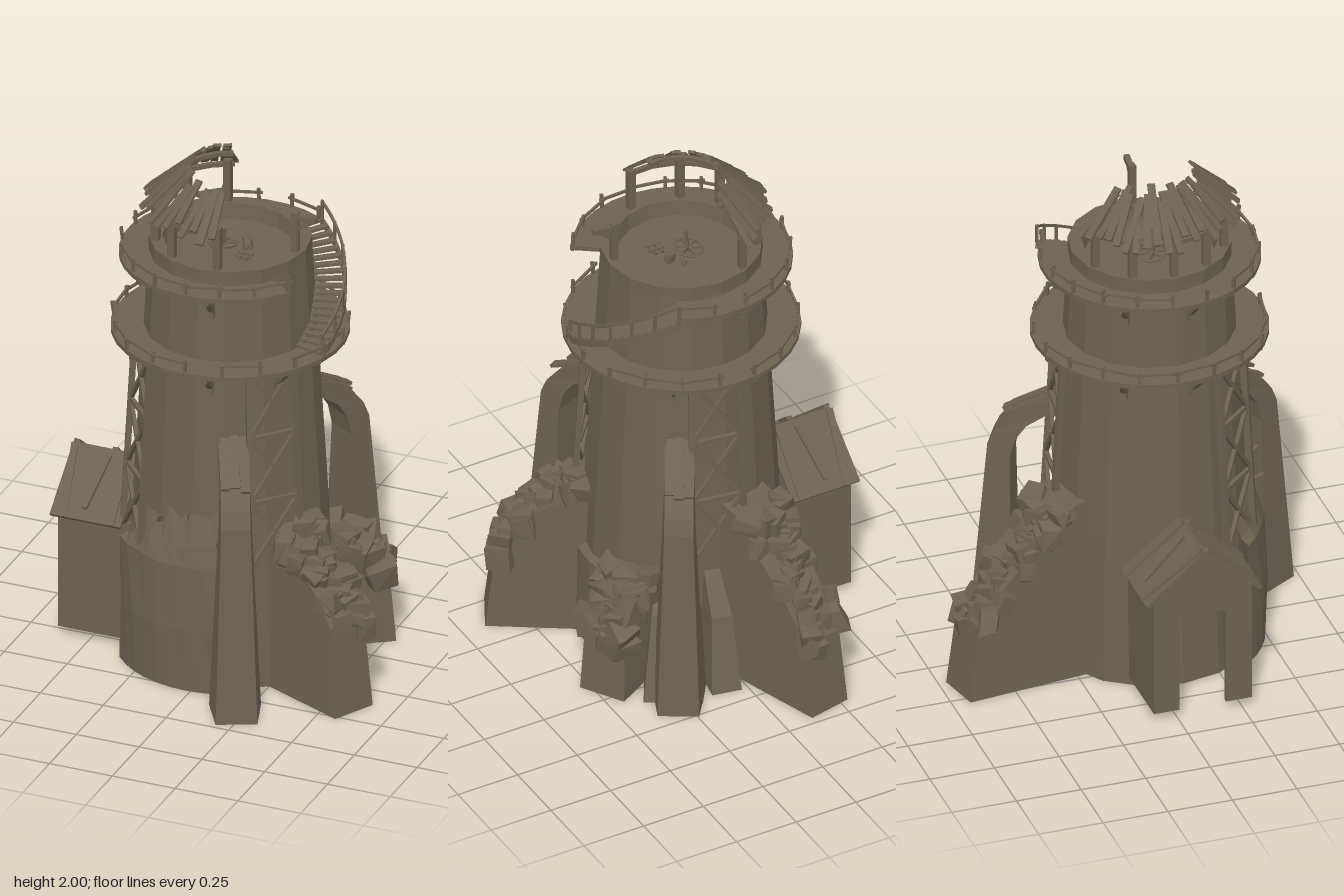
import * as THREE from 'three';
import { ConvexGeometry } from 'three/addons/geometries/ConvexGeometry.js';

const weathered = new THREE.MeshStandardMaterial({ color: 0x6c6253, side: THREE.DoubleSide });
weathered.name = 'weatheredStone';

const rad = THREE.MathUtils.degToRad;
const V = (x, y, z) => new THREE.Vector3(x, y, z);
// Point around the tower axis; azimuth 0 is the front (+z), 90 is +x
const polar = (az, r, y) => V(r * Math.sin(rad(az)), y, r * Math.cos(rad(az)));

export function createModel() {
  let seed = 7;
  const rnd = (a = 0, b = 1) => {
    seed = (seed * 16807) % 2147483647;
    return a + (b - a) * seed / 2147483647;
  };

  const model = new THREE.Group();
  model.name = 'ruinedTower';
  const site = new THREE.Group();
  site.name = 'towerSite';
  site.position.set(-0.02, 0, 0.1);
  model.add(site);

  function add(geo, name) {
    const g = geo.index ? geo.toNonIndexed() : geo;
    g.computeVertexNormals();
    const mesh = new THREE.Mesh(g, weathered);
    mesh.name = name;
    site.add(mesh);
    return mesh;
  }
  // Box running from a to b; w is the sideways width, t the thickness
  function beam(a, b, w, t, name) {
    const mesh = add(new THREE.BoxGeometry(w, t, a.distanceTo(b)), name);
    mesh.position.copy(a).add(b).multiplyScalar(0.5);
    mesh.quaternion.setFromRotationMatrix(new THREE.Matrix4().lookAt(b, a, V(0, 1, 0)));
  }
  // Flat ring sector with its underside at y
  function ringSector(r0, r1, y, h, a0, a1, name) {
    const n = Math.ceil((a1 - a0) / 12), pts = [];
    for (let i = 0; i <= n; i++) pts.push([r1, a0 + (a1 - a0) * i / n]);
    for (let i = n; i >= 0; i--) pts.push([r0, a0 + (a1 - a0) * i / n]);
    const shape = new THREE.Shape(pts.map(([r, a]) =>
      new THREE.Vector2(r * Math.sin(rad(a)), -r * Math.cos(rad(a)))));
    const geo = new THREE.ExtrudeGeometry(shape, { depth: h, bevelEnabled: false });
    geo.rotateX(-Math.PI / 2).translate(0, y, 0);
    add(geo, name);
  }
  // Radial slab from an (r, y) profile, narrowing upwards (over height h) and outwards
  function radialSlab(az, profile, wBase, wTop, h, name, openBelow = false) {
    const shape = new THREE.Shape(profile.map(p => new THREE.Vector2(...p)));
    const geo = new THREE.ExtrudeGeometry(shape, { depth: 1, bevelEnabled: false });
    const p = geo.attributes.position, kept = [];
    for (let i = 0; i < p.count; i++) {
      const w = THREE.MathUtils.lerp(wBase, wTop, Math.min(1, p.getY(i) / h));
      const narrow = 1 - 1.2 * Math.max(0, p.getX(i) - 0.5);
      p.setZ(i, (p.getZ(i) - 0.5) * w * narrow);
    }
    geo.rotateY(rad(az - 90));
    for (let i = 0; i < p.count; i += 3) {
      const onGround = Math.max(p.getY(i), p.getY(i + 1), p.getY(i + 2)) < 0.001;
      if (!(openBelow && onGround)) kept.push(i, i + 1, i + 2);
    }
    geo.setIndex(kept);
    add(geo, name);
  }
  // Blocky boulder
  function rock(pos, sx, sy, sz, name = 'rock') {
    const pts = [];
    for (const x of [-1, 1]) for (const y of [-1, 1]) for (const z of [-1, 1]) {
      const c = V(x * rnd(0.5, 0.95), y * rnd(0.5, 0.95), z * rnd(0.5, 0.95));
      pts.push(c.multiply(V(sx, sy, sz)));
    }
    for (let i = 0; i < 5; i++) pts.push(V(rnd(-1, 1) * sx, rnd(-1, 1) * sy, rnd(-1, 1) * sz));
    const mesh = add(new ConvexGeometry(pts), name);
    mesh.position.copy(pos);
    mesh.rotation.set(rnd(-0.3, 0.3), rnd(0, 6), rnd(-0.3, 0.3));
  }

  // Tower shaft with a parapet and sunken top floor
  const shaft = [[0.385, 0], [0.36, 0.6], [0.3, 1.64], [0.3, 1.68], [0.25, 1.68], [0.24, 1.62], [0, 1.62]];
  add(new THREE.LatheGeometry(shaft.map(p => new THREE.Vector2(...p)), 16), 'towerShaft');
  add(new THREE.CircleGeometry(0.37, 16).rotateX(Math.PI / 2).translate(0, 0.3, 0), 'lowerFloor');

  // Sloped earth skirt around the front and low wall on the side
  const skirt = new THREE.LatheGeometry([[0.425, 0], [0.43, 0.25], [0.42, 0.5], [0.395, 0.57], [0.345, 0.7]]
    .map(p => new THREE.Vector2(...p)), 9, rad(-50), rad(75));
  const sp = skirt.attributes.position;
  for (let i = 0; i < sp.count; i++) {
    if (sp.getY(i) < 0.1) continue;
    const k = rnd(0.98, 1.01), lift = sp.getY(i) > 0.52 ? 0.15 * sp.getX(i) + rnd(-0.01, 0.02) : 0;
    sp.setXYZ(i, sp.getX(i) * k, sp.getY(i) + lift, sp.getZ(i) * k);
  }
  add(skirt, 'frontSkirt');
  add(new THREE.LatheGeometry([[0.405, 0], [0.395, 0.37], [0.36, 0.385]]
    .map(p => new THREE.Vector2(...p)), 4, rad(68), rad(48)), 'sideWall');
  for (const [az, y] of [[-4, 0.68], [14, 0.58], [-22, 0.64]])
    beam(polar(az, 0.35, y), polar(az + 4, 0.42, y + 0.03), 0.015, 0.02, 'brokenPeg');

  // Ruined rib walls topped with boulders
  const ribs = [
    { az: 192.5, w: 0.28, count: 38, s: 0.05, line: [[0.82, 0], [0.78, 0.3], [0.66, 0.46], [0.53, 0.58], [0.45, 0.7], [0.3, 0.72]] },
    { az: 62, w: 0.24, count: 36, s: 0.05, line: [[0.72, 0], [0.68, 0.35], [0.59, 0.47], [0.47, 0.55], [0.38, 0.62], [0.3, 0.67]] },
    { az: 122, w: 0.21, count: 26, s: 0.056, line: [[0.6, 0], [0.58, 0.24], [0.54, 0.33], [0.47, 0.37], [0.4, 0.4], [0.3, 0.42]] },
  ];
  for (const { az, w, count, s, line } of ribs) {
    radialSlab(az, [[0.3, 0], ...line], w, w * 0.72, 0.6, 'ribWall', true);
    for (let i = 0; i < count; i++) {
      const t = 0.85 + 3.1 * (i + 0.5) / count, k = Math.floor(t), f = t - k;
      const r = THREE.MathUtils.lerp(line[k][0], line[k + 1][0], f);
      const y = THREE.MathUtils.lerp(line[k][1], line[k + 1][1], f);
      const side = rnd(-0.38, 0.38) * w / r * 57.3, q = s * rnd(0.75, 1.15);
      rock(polar(az + side, r - 0.015, y + rnd(-0.01, 0.02)), q, q * rnd(0.8, 1.3), q * rnd(0.8, 1.2));
    }
  }
  radialSlab(169, [[0.3, 0], [0.54, 0], [0.48, 0.3], [0.3, 0.5]], 0.12, 0.05, 0.5, 'brokenSpur', true);
  radialSlab(148, [[0.3, 0], [0.58, 0], [0.48, 0.32], [0.3, 0.42]], 0.24, 0.15, 0.4, 'rubbleFooting', true);

  // Arched flying buttresses with plank caps
  const arch = [[0.5, 0], [0.66, 0], [0.595, 0.77], [0.57, 0.83], [0.515, 0.9], [0.44, 0.95], [0.3, 1.0],
    [0.3, 0.92], [0.38, 0.91], [0.45, 0.86], [0.49, 0.8], [0.51, 0.72]];
  for (const az of [25, 150]) {
    radialSlab(az, arch, 0.19, 0.11, 0.9, 'buttress');
    for (let i = -1; i <= 1; i++)
      beam(polar(az + i * 5.5, 0.32, 1.025 - Math.abs(i) * 0.01),
        polar(az + i * 3.9, 0.56 - rnd(0, 0.06), 0.9), 0.034, 0.013, 'buttressPlank');
  }

  // Timber lattice panels on the shaft
  for (const az of [49, 172, 312]) {
    const R = y => 0.395 - (y - 0.5) * 0.055;
    const at = (s, y) => polar(az + s * 15, R(y), y);
    for (const s of [-1, 1]) beam(at(s, 0.45), at(s, 1.3), 0.022, 0.022, 'latticePost');
    for (let i = 0; i < 3; i++) {
      const y0 = 0.5 + i * 0.26, y1 = y0 + 0.26;
      beam(at(-1, y0), at(1, y1), 0.015, 0.015, 'latticeBrace');
      beam(at(1, y0), at(-1, y1), 0.015, 0.015, 'latticeBrace');
      beam(at(-1, y1), at(1, y1), 0.015, 0.015, 'latticeRail');
    }
  }

  // Two galleries with brackets and broken railings
  const galleries = [
    { y: 1.3, r: 0.44, wall: 0.325, a0: 0, a1: 359.9, stairGap: false },
    { y: 1.605, r: 0.41, wall: 0.305, a0: 150, a1: 415, stairGap: true },
  ];
  for (const { y, r, wall, a0, a1, stairGap } of galleries) {
    ringSector(wall - 0.04, r, y, 0.018, a0, a1, 'galleryDeck');
    for (let a = 10; a < 370; a += 45) {
      if (stairGap && a >= 55 && a < 150) continue;
      beam(polar(a, r - 0.03, y), polar(a, wall - 0.005, y - 0.09), 0.02, 0.02, 'galleryBracket');
      beam(polar(a, wall + 0.005, y - 0.11), polar(a, wall, y), 0.022, 0.022, 'bracketPost');
      beam(polar(a, wall - 0.01, y - 0.01), polar(a, r - 0.01, y - 0.01), 0.022, 0.02, 'bracketArm');
    }
    const n = Math.floor((a1 - a0) / 18);
    for (let i = 0; i <= n; i++) {
      const a = a0 + (a1 - a0) * i / n, b = a + (a1 - a0) / n, q = r - 0.01;
      beam(polar(a, q, y), polar(a, q + rnd(-0.01, 0.01), y + rnd(0.06, 0.08)), 0.011, 0.011, 'railPost');
      if (i < n && rnd() < 0.8)
        beam(polar(a - 2, q, y + rnd(0.045, 0.06)), polar(b + 2, q, y + rnd(0.045, 0.06)), 0.009, 0.009, 'rail');
    }
  }

  // Curved stair between the galleries
  const steps = 18, stairAz = i => 76 + 74 * i / steps, stairY = i => 1.325 + 0.29 * i / steps;
  for (let i = 0; i <= steps; i++) {
    const a = stairAz(i), y = stairY(i);
    beam(polar(a, 0.3, y), polar(a, 0.42, y), 0.027, 0.01, 'stairTread');
    if (i % 3 === 0) beam(polar(a, 0.42, y), polar(a, 0.42, y + 0.075), 0.01, 0.01, 'stairPost');
    if (i === steps) break;
    const b = stairAz(i + 1), yb = stairY(i + 1);
    for (const r of [0.315, 0.42]) beam(polar(a, r, y - 0.012), polar(b, r, yb - 0.012), 0.012, 0.024, 'stairStringer');
    beam(polar(a, 0.42, y + 0.07), polar(b, 0.42, yb + 0.07), 0.009, 0.009, 'stairRail');
  }

  // Posts, ring beams and planks of the collapsed conical roof
  for (const a of [13, 205, 238, 270, 300, 332])
    beam(polar(a, 0.275, 1.66), polar(a, 0.275, 1.85), 0.028, 0.028, 'roofPost');
  beam(polar(85, 0.27, 1.66), polar(85, 0.27, 1.84), 0.026, 0.026, 'brokenPost');
  beam(polar(85, 0.26, 1.82), polar(85, 0.355, 1.825), 0.022, 0.02, 'brokenArm');
  beam(polar(85, 0.27, 1.765), polar(85, 0.33, 1.815), 0.014, 0.014, 'brokenBrace');
  for (const [r, y] of [[0.285, 1.825], [0.185, 1.92]])
    for (let a = 200; a < 370; a += 17) beam(polar(a, r, y), polar(a + 17, r, y), 0.018, 0.016, 'roofRing');
  for (let i = 0; i < 25; i++) {
    const a = 200 + i * 7.1, r0 = rnd(0.29, 0.34), r1 = rnd(0.13, 0.19);
    const slope = r => 2.1 - r * 0.87;
    const skew = rnd(-5, 9);
    beam(polar(a, r0, slope(r0)), polar(a + skew, r1, slope(r1) + rnd(0, 0.01)), rnd(0.023, 0.031), 0.011, 'roofPlank');
  }

  // Wrecked lamp gear on the top floor
  const wheel = add(new THREE.TorusGeometry(0.052, 0.006, 5, 16), 'lampWheel');
  wheel.position.set(-0.03, 1.64, 0);
  wheel.rotation.set(Math.PI / 2 - 0.15, 0.1, 0);
  for (const a of [0, 60, 120]) {
    const d = polar(a, 0.05, 0);
    beam(V(-0.03 + d.x, 1.64, d.z), V(-0.03 - d.x, 1.64, -d.z), 0.008, 0.008, 'wheelSpoke');
  }
  beam(V(-0.03, 1.62, 0), V(-0.02, 1.71, 0.01), 0.014, 0.014, 'lampSpindle');
  for (const x of [0.06, 0.085]) beam(V(x, 1.63, 0.03), V(x + 0.01, 1.64, 0.09), 0.01, 0.012, 'lampFrame');
  for (const z of [0.045, 0.075]) beam(V(0.05, 1.64, z), V(0.11, 1.64, z), 0.01, 0.01, 'lampFrameBar');
  rock(V(0.06, 1.64, -0.02), 0.02, 0.025, 0.02, 'rubble');
  rock(V(0.03, 1.635, -0.07), 0.014, 0.014, 0.014, 'rubble');

  // Lean-to hut with an open gable end
  const gable = new THREE.Shape([[-0.19, 0.03], [-0.09, 0.03], [-0.09, 0.42], [0.09, 0.42], [0.09, 0.03],
    [0.19, 0.03], [0.19, 0.5], [0, 0.68], [-0.19, 0.5]].map(p => new THREE.Vector2(...p)));
  add(new THREE.ExtrudeGeometry(gable, { depth: 0.02, bevelEnabled: false })
    .rotateY(-Math.PI / 2).translate(-0.585, 0, 0), 'hutGable');
  for (const s of [-1, 1]) {
    add(new THREE.BoxGeometry(0.29, 0.48, 0.02).translate(-0.455, 0.27, s * 0.18), 'hutWall');
    beam(V(-0.485, 0.69, 0), V(-0.485, 0.5, s * 0.22), 0.28, 0.015, 'hutRoof');
    beam(V(-0.615, 0.7, s * 0.01), V(-0.57, 0.505, s * 0.225), 0.025, 0.012, 'loosePlank');
    beam(V(-0.47, 0.685, s * 0.03), V(-0.5, 0.54, s * 0.195), 0.022, 0.012, 'loosePlank');
    beam(V(-0.4, 0.7, s * 0.01), V(-0.385, 0.505, s * 0.225), 0.03, 0.012, 'loosePlank');
  }
  return model;
}
